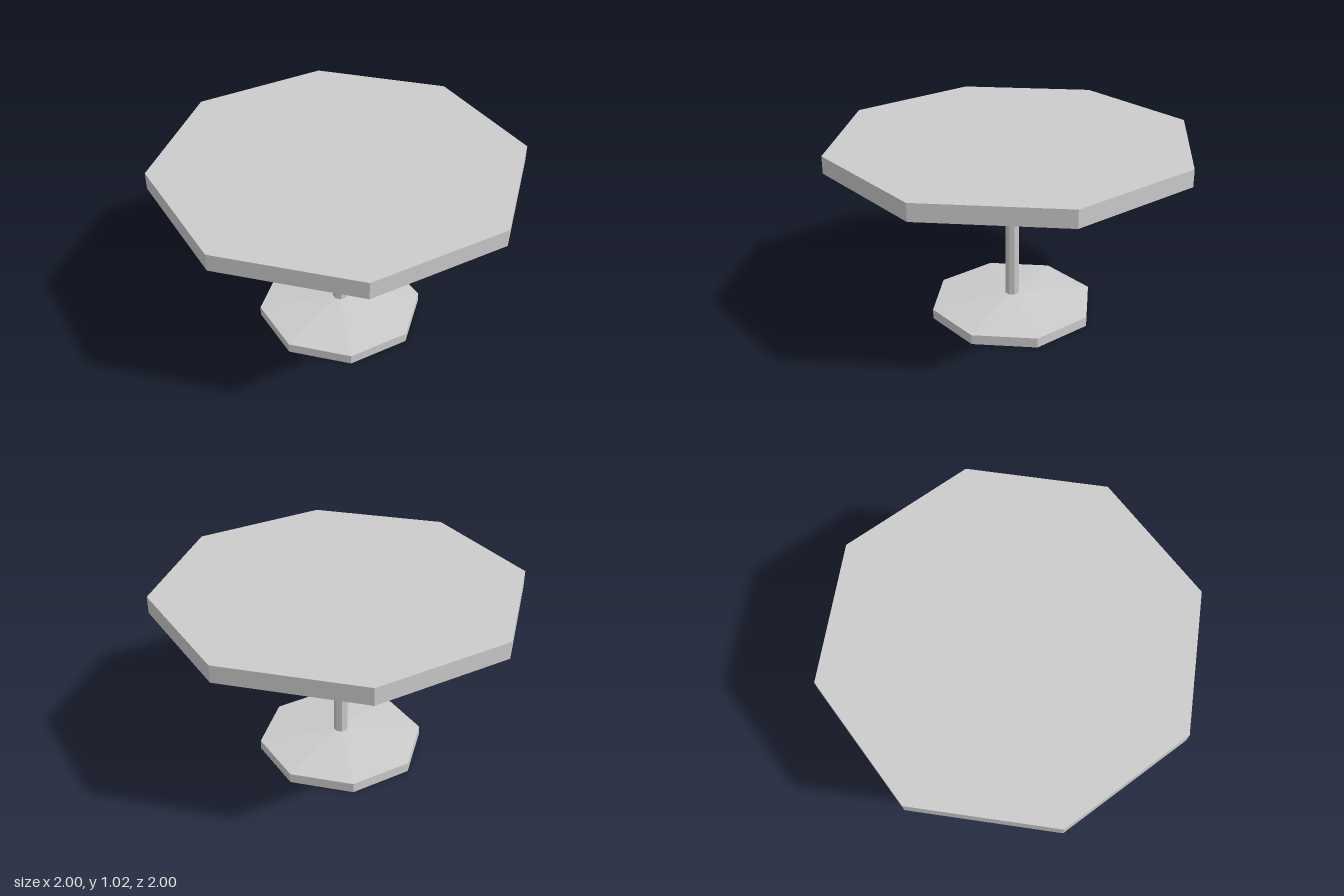
import * as THREE from 'three';

const SIDES = 8;

export function createModel() {
  const group = new THREE.Group();
  group.name = 'pedestalTable';

  // One grey throughout; double-sided because the base is a hollow shell
  const grey = new THREE.MeshStandardMaterial({ color: 0xcccccc, flatShading: true, side: THREE.DoubleSide });
  grey.name = 'lightGrey';

  // Octagonal section between two heights, with a corner on each axis
  function section(name, bottomRadius, topRadius, y0, y1, open = true) {
    const geometry = new THREE.CylinderGeometry(topRadius, bottomRadius, y1 - y0, SIDES, 1, open);
    geometry.translate(0, (y0 + y1) / 2, 0);
    const mesh = new THREE.Mesh(geometry, grey);
    mesh.name = name;
    group.add(mesh);
  }

  // Hollow foot: upright rim and shallow sloping cover
  section('baseRim', 0.463, 0.463, 0, 0.055);
  section('baseCover', 0.463, 0.04, 0.055, 0.098);

  // Hollow column flaring out beneath the top
  section('column', 0.04, 0.04, 0.098, 0.833);
  section('columnFlare', 0.04, 0.195, 0.833, 0.932);

  // Solid table top
  section('tableTop', 1, 1, 0.932, 1.025, false);

  return group;
}
